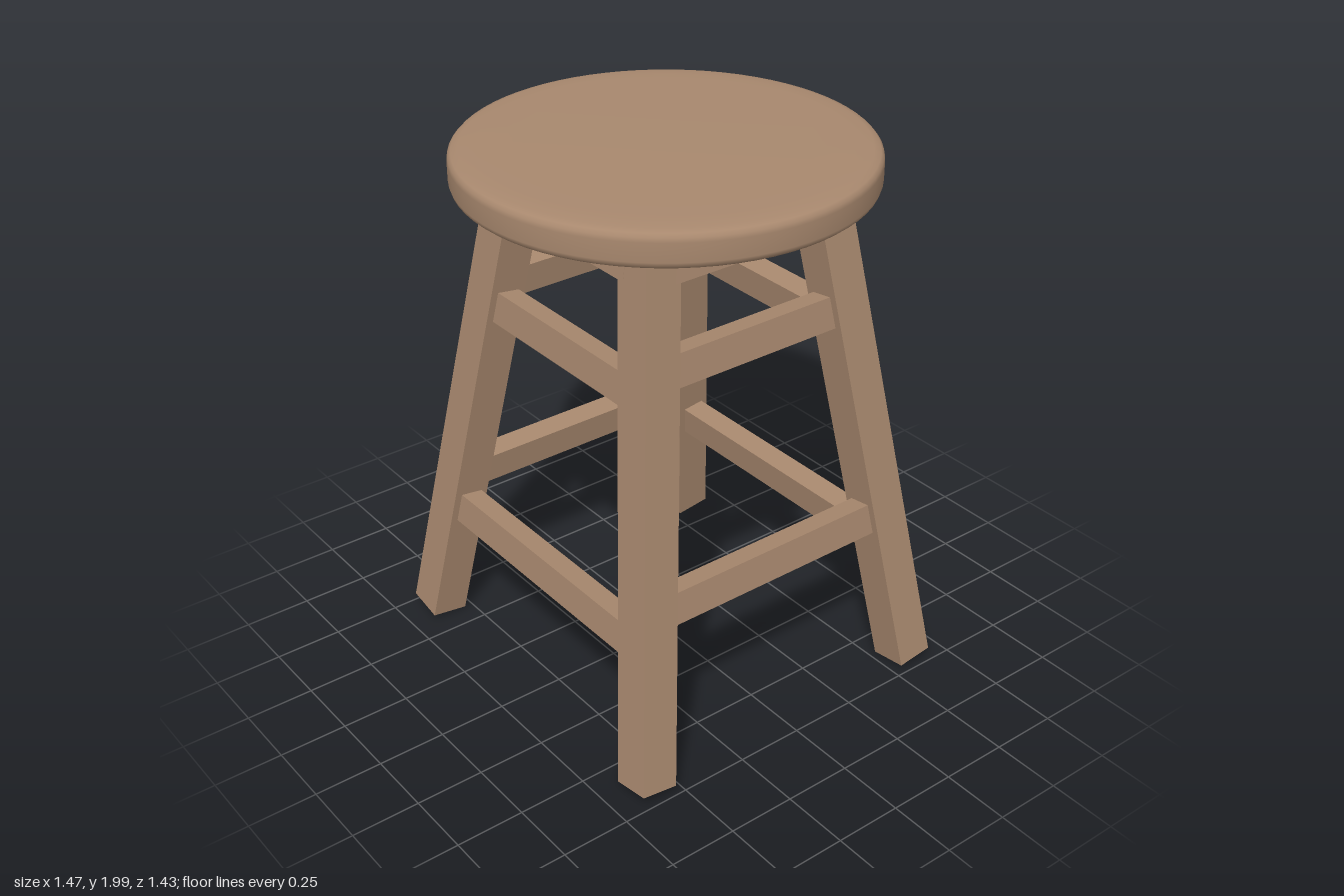
import * as THREE from 'three';

const TILT_Z = 0.16, TILT_X = 0.135;            // leg splay sideways and front-to-back
const legX = y => 0.661 - 0.1636 * (y - 0.04);  // leg centre line at height y
const legZ = y => 0.5955 - 0.135 * (y - 0.04);

export function createModel() {
  const group = new THREE.Group();
  const wood = new THREE.MeshStandardMaterial({ color: 0xa8886e });
  wood.name = 'wood';

  const add = (name, geometry) => {
    const mesh = new THREE.Mesh(geometry, wood);
    mesh.name = name;
    group.add(mesh);
    return mesh;
  };

  // Round seat with softened rims and a very slight dome
  const profile = [
    [0, 1.865], [0.6, 1.865], [0.68, 1.866], [0.7, 1.871], [0.711, 1.88], [0.716, 1.895],
    [0.716, 1.96], [0.713, 1.975], [0.703, 1.986], [0.68, 1.993], [0.62, 1.998], [0.5, 2.0], [0, 2.0],
  ].map(([r, y]) => new THREE.Vector2(r, y));
  add('seat', new THREE.LatheGeometry(profile, 72)).position.x = -0.004;

  // Four splayed square legs, cut square to their own axis
  const legLength = 1.93;
  for (const sx of [-1, 1]) for (const sz of [-1, 1]) {
    const name = (sz > 0 ? 'front' : 'back') + (sx > 0 ? 'Left' : 'Right') + 'Leg';
    const leg = add(name, new THREE.BoxGeometry(0.143, legLength, 0.138));
    leg.rotation.set(-sz * TILT_X, 0, sx * TILT_Z);
    const yMid = 0.03 + legLength / 2 * Math.cos(TILT_X) * Math.cos(TILT_Z);
    leg.position.set(sx * legX(yMid), yMid, sz * legZ(yMid));
  }

  // Stretcher rails, leaning with the legs and let into them
  for (const s of [-1, 1]) {
    for (const y of [0.522, 1.372]) {
      const half = legX(y) - 0.045;
      const rail = add((s > 0 ? 'front' : 'back') + 'Rail', new THREE.BoxGeometry(2 * half, 0.115, 0.085));
      rail.position.set(0, y, s * legZ(y));
      rail.rotation.x = -s * TILT_X;
    }
    for (const y of [0.641, 1.443]) {
      const half = legZ(y) - 0.045;
      const rail = add((s > 0 ? 'left' : 'right') + 'Rail', new THREE.BoxGeometry(0.085, 0.115, 2 * half));
      rail.position.set(s * legX(y), y, 0);
      rail.rotation.z = s * TILT_Z;
    }
  }

  // Apron boards under the seat: level edges, faces sheared flush with the legs
  const apron = (name, halfLength, outer, slope, turn) => {
    const height = 0.145, thick = 0.08;
    const geometry = new THREE.BoxGeometry(2 * halfLength, height, thick);
    const p = geometry.attributes.position;
    for (let i = 0; i < p.count; i++) {
      const up = p.getY(i) + height / 2;
      p.setXYZ(i, p.getX(i), 1.745 + up, p.getZ(i) + outer - thick / 2 - slope * up);
    }
    geometry.computeVertexNormals();
    add(name, geometry).rotation.y = turn;
  };
  apron('frontApron', 0.34, 0.435, 0.135, 0);
  apron('backApron', 0.34, 0.435, 0.135, Math.PI);
  apron('leftApron', 0.33, 0.454, 0.1636, Math.PI / 2);
  apron('rightApron', 0.33, 0.454, 0.1636, -Math.PI / 2);

  return group;
}
